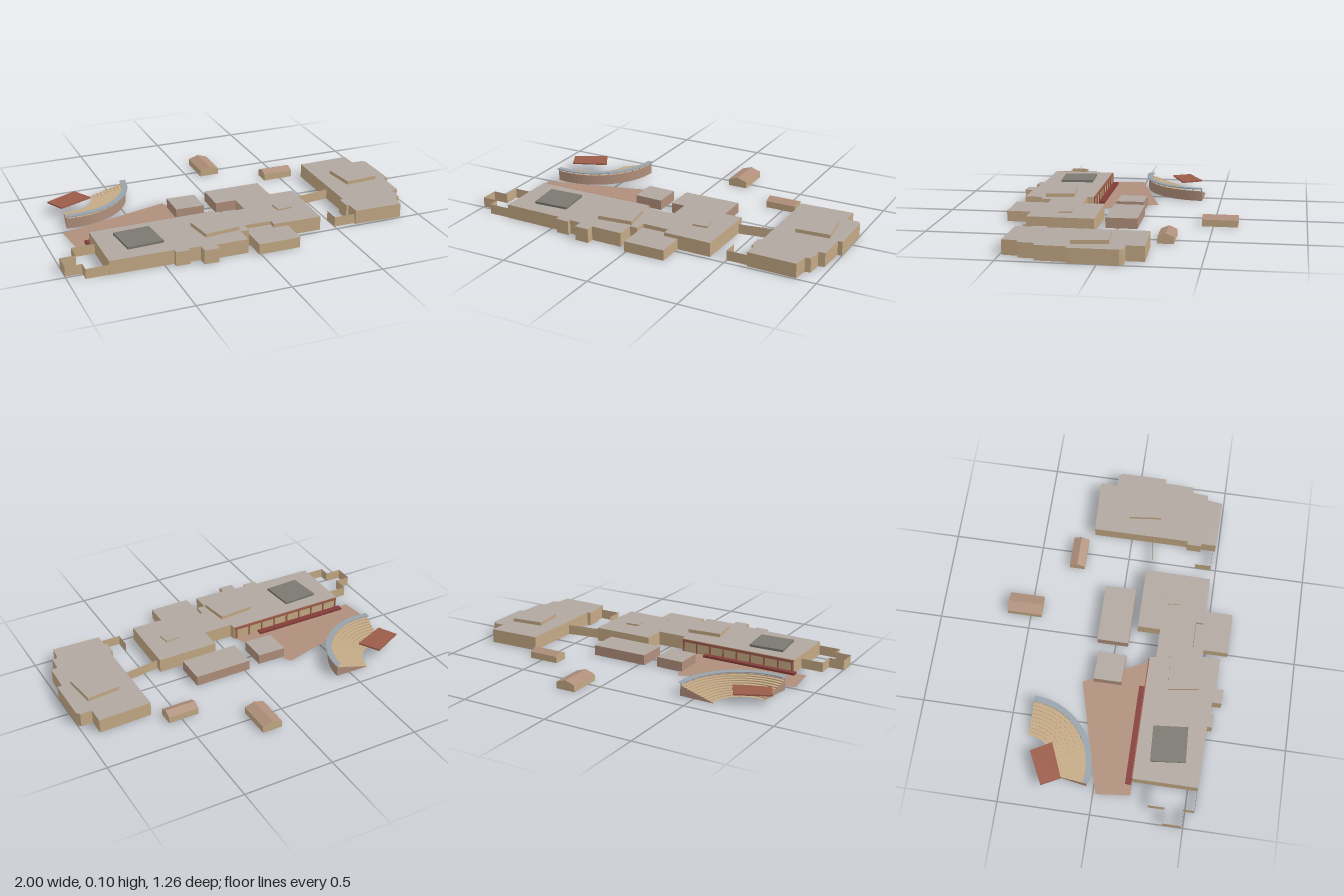
import * as THREE from 'three';

const mat = (name, color) => new THREE.MeshStandardMaterial({ name, color, side: THREE.DoubleSide });

export function createModel() {
  const root = new THREE.Group();
  root.name = 'siteModel';
  const stone = mat('sandstone', 0xc4a985);
  const roof = mat('roofGrey', 0xb1a8a0);
  const clay = mat('clay', 0xb08f7c);
  const terracotta = mat('terracotta', 0x9c5c49);
  const darkRed = mat('darkRed', 0x843c39);
  const slate = mat('darkRoof', 0x7b7870);
  const steel = mat('blueGrey', 0x98a3ac);

  const add = (parent, name, geometry, material) => {
    const m = new THREE.Mesh(geometry, material);
    m.name = name;
    parent.add(m);
    return m;
  };
  const group = (name) => {
    const g = new THREE.Group();
    g.name = name;
    root.add(g);
    return g;
  };

  // flat polygon of [x, z] corners at height y
  const slab = (pts, y) => {
    const g = new THREE.ShapeGeometry(new THREE.Shape(pts.map(([x, z]) => new THREE.Vector2(x, -z))));
    return g.rotateX(-Math.PI / 2).translate(0, y, 0);
  };
  // thin upright wall along [x, z] corners
  const band = (pts, y0, y1, closed) => {
    const v = [];
    const n = closed ? pts.length : pts.length - 1;
    for (let i = 0; i < n; i++) {
      const [px, pz] = pts[i], [qx, qz] = pts[(i + 1) % pts.length];
      v.push(qx, y0, qz, px, y0, pz, px, y1, pz, qx, y0, qz, px, y1, pz, qx, y1, qz);
    }
    const g = new THREE.BufferGeometry();
    g.setAttribute('position', new THREE.Float32BufferAttribute(v, 3));
    g.computeVertexNormals();
    return g;
  };
  // hollow building: walls open underneath and a flat top
  const block = (name, pts, y0, y1, wallMat, roofMat) => {
    const g = group(name);
    add(g, name + 'Walls', band(pts, y0, y1, true), wallMat);
    add(g, name + 'Roof', slab(pts, y1), roofMat);
  };
  const rect = (x0, z0, x1, z1) => [[x0, z0], [x1, z0], [x1, z1], [x0, z1]];

  // main buildings
  const H = 0.078;
  block('mainBuilding', [
    [-0.79, 0.2], [-0.1, 0.2], [-0.095, 0.235], [0.07, 0.235], [0.07, 0.11], [0.415, 0.11],
    [0.41, 0.475], [0.14, 0.47], [0.14, 0.428], [-0.01, 0.425], [-0.01, 0.49], [-0.055, 0.485],
    [-0.055, 0.585], [-0.23, 0.582], [-0.23, 0.625], [-0.31, 0.622], [-0.31, 0.57], [-0.375, 0.568],
    [-0.375, 0.59], [-0.45, 0.587], [-0.45, 0.56], [-0.79, 0.553],
  ], 0, H, stone, roof);
  block('eastBuilding', [
    [0.625, -0.215], [0.92, -0.225], [0.92, -0.13], [0.985, -0.13], [1, -0.11], [1, 0.148],
    [0.975, 0.148], [0.97, 0.31], [0.935, 0.315], [0.93, 0.4], [0.9, 0.405], [0.89, 0.49],
    [0.62, 0.483], [0.62, 0.4], [0.605, 0.4], [0.605, 0.32], [0.625, 0.318],
  ], 0, H, stone, roof);
  block('frontWing', [[-0.01, 0.43], [0.14, 0.43], [0.14, 0.47], [0.22, 0.472], [0.22, 0.625], [-0.01, 0.625]],
    0, 0.058, stone, roof);

  // pavilions
  block('smallPavilion', [[-0.26, -0.09], [-0.1, -0.085], [-0.1, 0.07], [-0.26, 0.065]], 0, 0.057, clay, roof);
  block('largePavilion', rect(-0.03, -0.103, 0.295, 0.07), 0, 0.057, clay, roof);

  // raised roof boxes
  block('darkRoofBox', [[-0.685, 0.28], [-0.487, 0.272], [-0.47, 0.46], [-0.665, 0.47]], H, 0.091, slate, slate);
  block('middleRoofBox', [[-0.275, 0.325], [-0.078, 0.308], [-0.055, 0.468], [-0.25, 0.487]], H, 0.098, stone, roof);
  block('smallRoofBox', [[0.225, 0.255], [0.305, 0.25], [0.315, 0.32], [0.23, 0.326]], H, 0.087, stone, roof);
  block('eastRoofBox', [[0.72, 0.035 - 0.065], [0.905, -0.048], [0.928, 0.138], [0.74, 0.15]], H, 0.098, stone, roof);

  // boundary walls
  const walls = group('boundaryWalls');
  add(walls, 'westWall', band([
    [-0.79, 0.55], [-0.91, 0.55], [-0.91, 0.49], [-1, 0.49], [-1, 0.39],
    [-0.915, 0.39], [-0.915, 0.3], [-0.79, 0.3],
  ], 0, 0.055), stone);
  add(walls, 'northLinkWall', band([[0.415, 0.15], [0.625, 0.12]], 0, 0.055), stone);
  add(walls, 'southLinkWall', band([[0.5, 0.38], [0.5, 0.47], [0.62, 0.47]], 0, 0.055), stone);

  // plaza with step and portico
  const plaza = group('plaza');
  add(plaza, 'paving', slab([[-0.885, 0.015], [-0.27, -0.15], [-0.1, 0.2], [-0.865, 0.2]], 0.004), clay);
  add(plaza, 'redStep', new THREE.BoxGeometry(0.555, 0.015, 0.033).translate(-0.53, 0.0085, 0.18), darkRed);
  add(plaza, 'porticoBeam', new THREE.BoxGeometry(0.68, 0.014, 0.006).translate(-0.445, 0.069, 0.197), terracotta);
  for (let i = 0; i < 9; i++) {
    add(plaza, 'porticoPost', new THREE.BoxGeometry(0.008, 0.062, 0.006).translate(-0.78 + i * 0.0835, 0.031, 0.196), terracotta);
  }

  // gabled huts, ridge along local z
  const hut = (name, x, z, w, len, turn) => {
    const g = group(name);
    const a = w / 2, b = len / 2, eave = 0.037, ridge = 0.055;
    add(g, 'hutWalls', band(rect(-a, -b, a, b), 0, eave, true), stone);
    for (const s of [-1, 1]) {
      const gable = new THREE.ShapeGeometry(new THREE.Shape([
        new THREE.Vector2(-a, eave), new THREE.Vector2(a, eave), new THREE.Vector2(0, ridge)]));
      if (s < 0) gable.rotateY(Math.PI);
      add(g, 'hutGable', gable.translate(0, 0, s * b), stone);
      const slope = new THREE.PlaneGeometry(Math.hypot(a, ridge - eave), len).rotateX(-Math.PI / 2);
      slope.rotateZ(-s * Math.atan2(ridge - eave, a)).translate(s * a / 2, (eave + ridge) / 2, 0);
      add(g, 'hutRoof', slope, clay);
    }
    g.position.set(x, 0, z);
    g.rotation.y = turn;
  };
  hut('backHut', 0.13, -0.535, 0.112, 0.193, 0);
  hut('sideHut', 0.488, -0.285, 0.085, 0.172, Math.PI / 2);

  // open-air theatre: stepped fan, back wall, canopy ring
  const theatre = group('theatre');
  theatre.position.set(-0.785, 0, -0.4);
  const start = -0.175, sweep = 1.72;
  const lathe = (name, pts, material) => {
    const g = new THREE.LatheGeometry(pts.map(([r, y]) => new THREE.Vector2(r, y)), 24, start, sweep).toNonIndexed();
    g.computeVertexNormals();
    add(theatre, name, g, material);
  };
  const rows = 10, r0 = 0.17, r1 = 0.365, top = 0.055;
  const steps = [];
  for (let i = 0; i < rows; i++) {
    const y = 0.005 + (top - 0.005) * i / (rows - 1);
    steps.push([r0 + (r1 - r0) * i / rows, y], [r0 + (r1 - r0) * (i + 1) / rows, y]);
  }
  lathe('seating', steps, stone);
  lathe('backWall', [[r1, 0], [r1, 0.058]], clay);
  lathe('canopy', [[0.345, 0.07], [0.377, 0.07], [0.377, 0.075], [0.345, 0.075], [0.345, 0.07]], steel);
  for (let i = 0; i <= 12; i++) {
    const t = start + 0.01 + (sweep - 0.02) * i / 12;
    add(theatre, 'canopyPost', new THREE.BoxGeometry(0.004, 0.018, 0.004)
      .translate(Math.sin(t) * 0.362, 0.062, Math.cos(t) * 0.362), steel);
  }
  for (const t of [start, start + sweep]) {
    const side = new THREE.Shape([[r0, 0], ...steps, [r1, 0]].map(([r, y]) => new THREE.Vector2(r, y)));
    add(theatre, 'sideWall', new THREE.ShapeGeometry(side).rotateY(t - Math.PI / 2), clay);
  }

  // stage roof
  block('stageRoof', [[-0.89, -0.28], [-0.713, -0.367], [-0.65, -0.255], [-0.838, -0.178]], 0.055, 0.063, terracotta, terracotta);

  return root;
}
